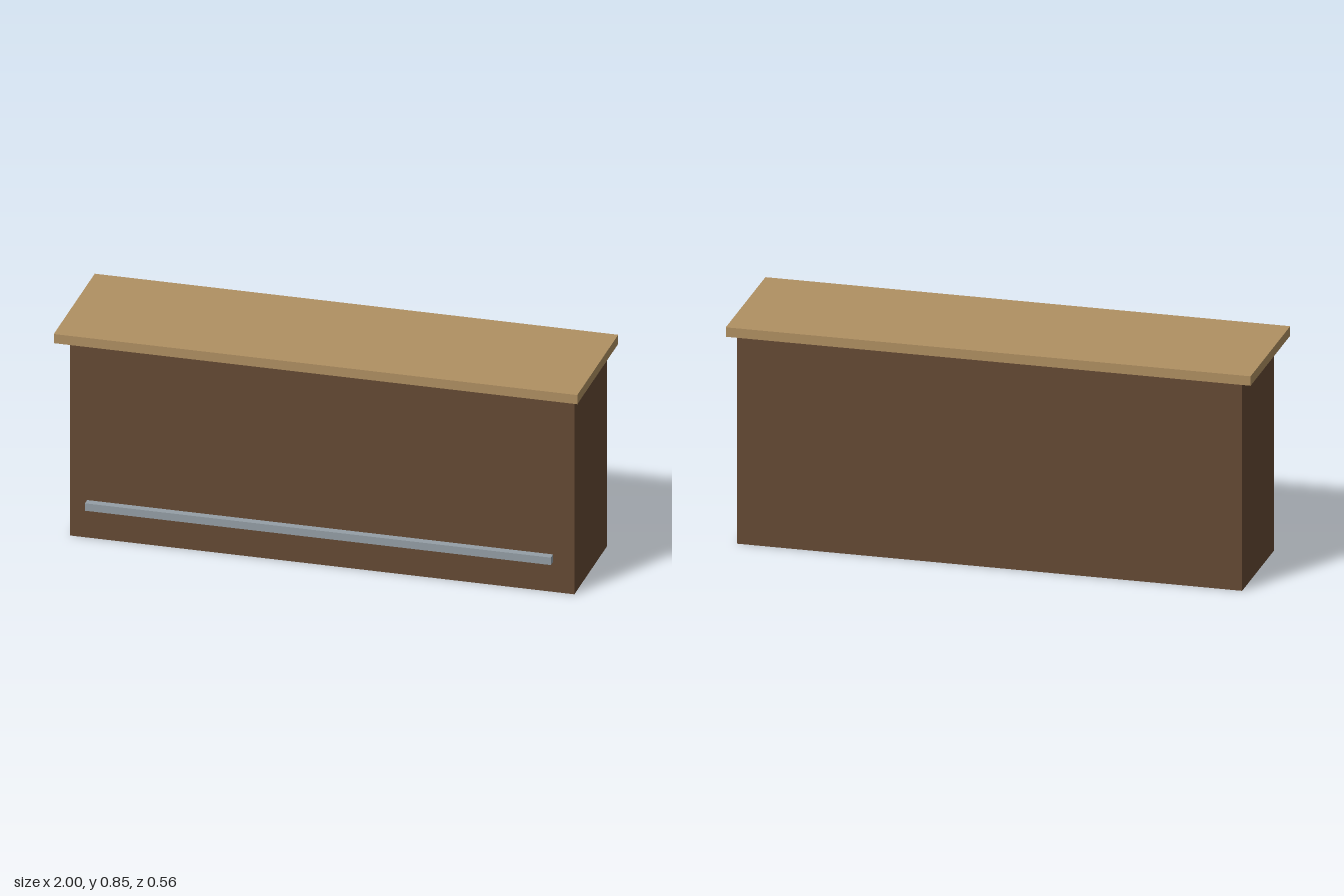
import * as THREE from 'three';

function material(name, color) {
  const m = new THREE.MeshStandardMaterial({ color });
  m.name = name;
  return m;
}

// Box given by its centre x = 0 and its y and z extents
function slab(name, mat, width, [y0, y1], [z0, z1]) {
  const mesh = new THREE.Mesh(new THREE.BoxGeometry(width, y1 - y0, z1 - z0), mat);
  mesh.position.set(0, (y0 + y1) / 2, (z0 + z1) / 2);
  mesh.name = name;
  return mesh;
}

export function createModel() {
  const darkWood = material('dark wood', 0x654a34);
  const lightWood = material('light wood', 0xb09062);
  const steel = material('steel', 0x959fa6);

  const counter = new THREE.Group();
  counter.name = 'barCounter';
  counter.add(
    // Solid cabinet, set back under the front overhang
    slab('cabinet', darkWood, 1.926, [0, 0.813], [-0.26, 0.186]),
    // Overhanging worktop
    slab('worktop', lightWood, 2, [0.813, 0.85], [-0.278, 0.278]),
    // Square foot rail standing clear of the front
    slab('footRail', steel, 1.78, [0.135, 0.165], [0.215, 0.245])
  );
  return counter;
}
